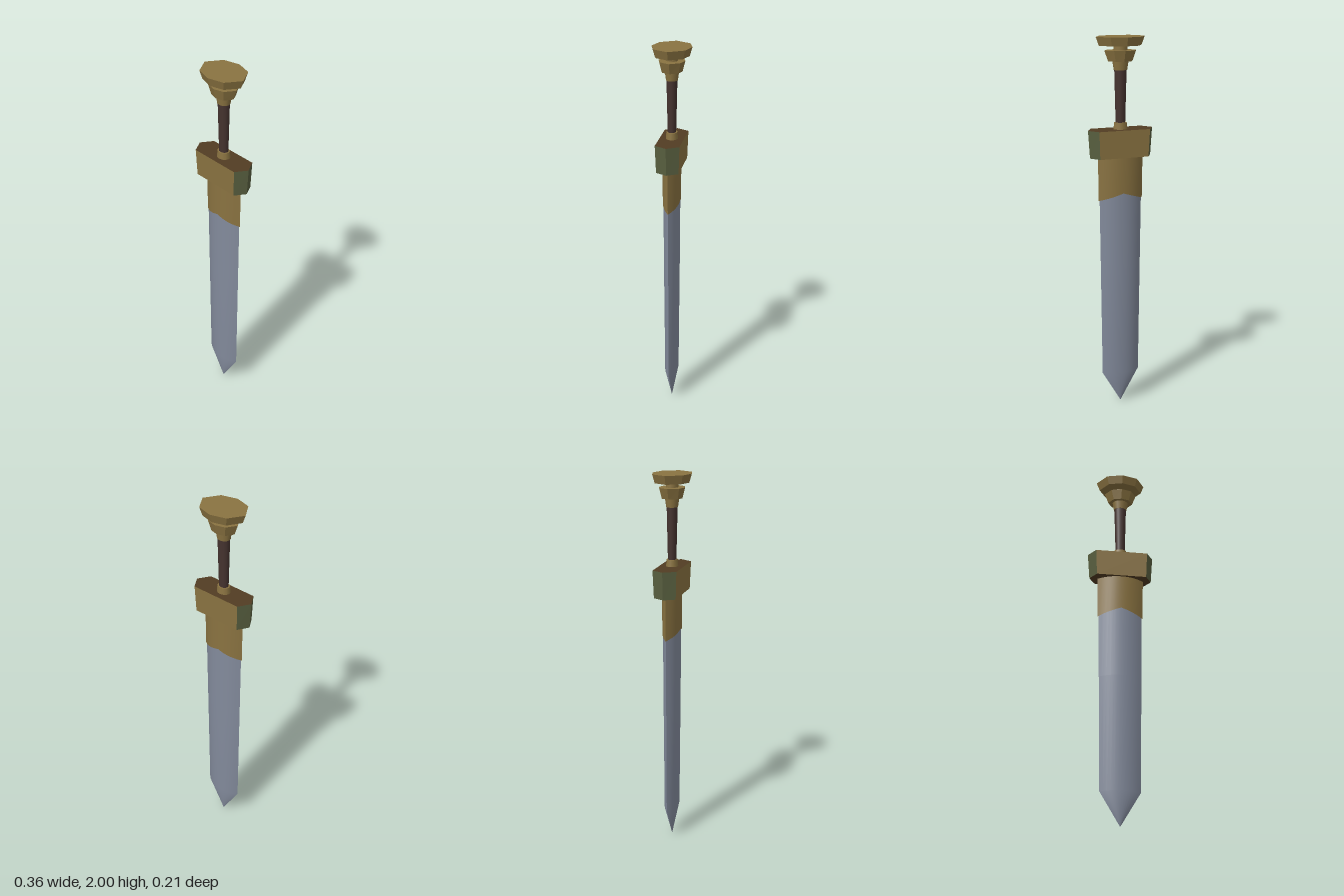
import * as THREE from 'three';

const mat = (name, color, side = THREE.FrontSide) => {
  const m = new THREE.MeshStandardMaterial({ color, side });
  m.name = name;
  return m;
};

// Flat-sided solid through rings of [x, z] corners: rings = [[y, corners], ...] from bottom to top.
// pick(i) gives the material slot of side i; the end caps use capSlot.
function loft(rings, pick = () => 0, capSlot = 0) {
  const pos = [], geo = new THREE.BufferGeometry();
  const add = (slot, ...pts) => {
    geo.addGroup(pos.length / 3, pts.length, slot);
    pts.forEach(p => pos.push(...p));
  };
  const at = (r, i) => {
    const [y, c] = rings[r], [x, z] = c[i % c.length];
    return [x, y, z];
  };
  const n = rings[0][1].length, last = rings.length - 1;
  for (let i = 0; i < n; i++) {
    for (let r = 0; r < last; r++) {
      const a = at(r, i), b = at(r, i + 1), c = at(r + 1, i), d = at(r + 1, i + 1);
      add(pick(i), a, c, b, b, c, d);
    }
    add(capSlot, [0, rings[0][0], 0], at(0, i), at(0, i + 1));
    add(capSlot, [0, rings[last][0], 0], at(last, i + 1), at(last, i));
  }
  geo.setAttribute('position', new THREE.Float32BufferAttribute(pos, 3));
  geo.computeVertexNormals();
  return geo;
}

// One smooth bulging face of a lens section; rows = [[y, halfWidth, halfDepth], ...], edge(y, u) bends a row
function lensFace(rows, edge = y => y) {
  const steps = 12, pos = [], index = [];
  rows.forEach(([y, w, d], r) => {
    for (let i = 0; i <= steps; i++) {
      const u = 1 - 2 * i / steps;
      pos.push(w * u, edge(y, u, r), d * (1 - Math.pow(Math.abs(u), 2.2)));
      if (r && i) {
        const t = r * (steps + 1) + i, b = t - steps - 1;
        index.push(b - 1, t - 1, b, b, t - 1, t);
      }
    }
  });
  const geo = new THREE.BufferGeometry();
  geo.setAttribute('position', new THREE.Float32BufferAttribute(pos, 3));
  geo.setIndex(index);
  geo.computeVertexNormals();
  return geo;
}

const hexagon = (w, shoulder, d) =>
  [[w, 0], [shoulder, d], [-shoulder, d], [-w, 0], [-shoulder, -d], [shoulder, -d]];
const octagon = (w, d) =>
  [[w, 0], [w * 0.63, d * 0.77], [0, d], [-w * 0.63, d * 0.77],
   [-w, 0], [-w * 0.63, -d * 0.77], [0, -d], [w * 0.63, -d * 0.77]];

export function createModel() {
  const gold = mat('gold', 0x8a7341);
  const brown = mat('dark bronze', 0x523d23);
  const green = mat('tarnished green', 0x596040);
  const steel = mat('steel', 0x838b9c, THREE.DoubleSide);
  const collarGold = gold;
  const leather = mat('leather', 0x45332f);

  const sword = new THREE.Group();
  sword.name = 'sword';
  const add = (name, geo, material, parent = sword) => {
    const mesh = new THREE.Mesh(geo, material);
    mesh.name = name;
    parent.add(mesh);
    return mesh;
  };

  // Blade and the collar sleeve over it, each as a front and a mirrored-round back face
  const blade = new THREE.Group(), collar = new THREE.Group();
  blade.name = 'blade';
  collar.name = 'collar';
  sword.add(blade, collar);
  const bladeGeo = lensFace([[0.005, 0.001, 0.001], [0.18, 0.105, 0.035], [0.8, 0.113, 0.04], [1.4, 0.121, 0.043]]);
  const collarGeo = lensFace([[1.15, 0.123, 0.045], [1.39, 0.126, 0.047]],
    (y, u, r) => r ? y : y + 0.04 * (1 - Math.abs(u)));
  [['front', 0], ['back', Math.PI]].forEach(([side, turn]) => {
    add(side + 'BladeFace', bladeGeo, steel, blade).rotation.y = turn;
    add(side + 'CollarFace', collarGeo, collarGold, collar).rotation.y = turn;
  });

  // Guard: gold faces, green pointed ends, dark top and bottom
  add('guard', loft([[1.38, hexagon(0.17, 0.135, 0.058)], [1.525, hexagon(0.18, 0.141, 0.063)]],
    i => (i % 3 === 1 ? 0 : 1), 2), [gold, green, brown]);

  // Grip with a ferrule at each end
  const rod = (name, y0, y1, r0, r1, material) => {
    const geo = new THREE.CylinderGeometry(r1, r0, y1 - y0, 12);
    geo.scale(1, 1, 0.85);
    add(name, geo, material).position.y = (y0 + y1) / 2;
  };
  rod('lowerFerrule', 1.52, 1.56, 0.038, 0.034, gold);
  rod('grip', 1.56, 1.83, 0.026, 0.033, leather);
  rod('upperFerrule', 1.83, 1.88, 0.036, 0.044, gold);
  rod('pommelNeck', 1.92, 1.96, 0.037, 0.037, gold);

  // Pommel: small disc below, wide cap above
  add('pommelDisc', loft([[1.875, octagon(0.068, 0.054)], [1.93, octagon(0.088, 0.068)]]), [gold]);
  add('pommelCap', loft([[1.955, octagon(0.118, 0.09)], [2, octagon(0.135, 0.103)]]), [gold]);

  return sword;
}
